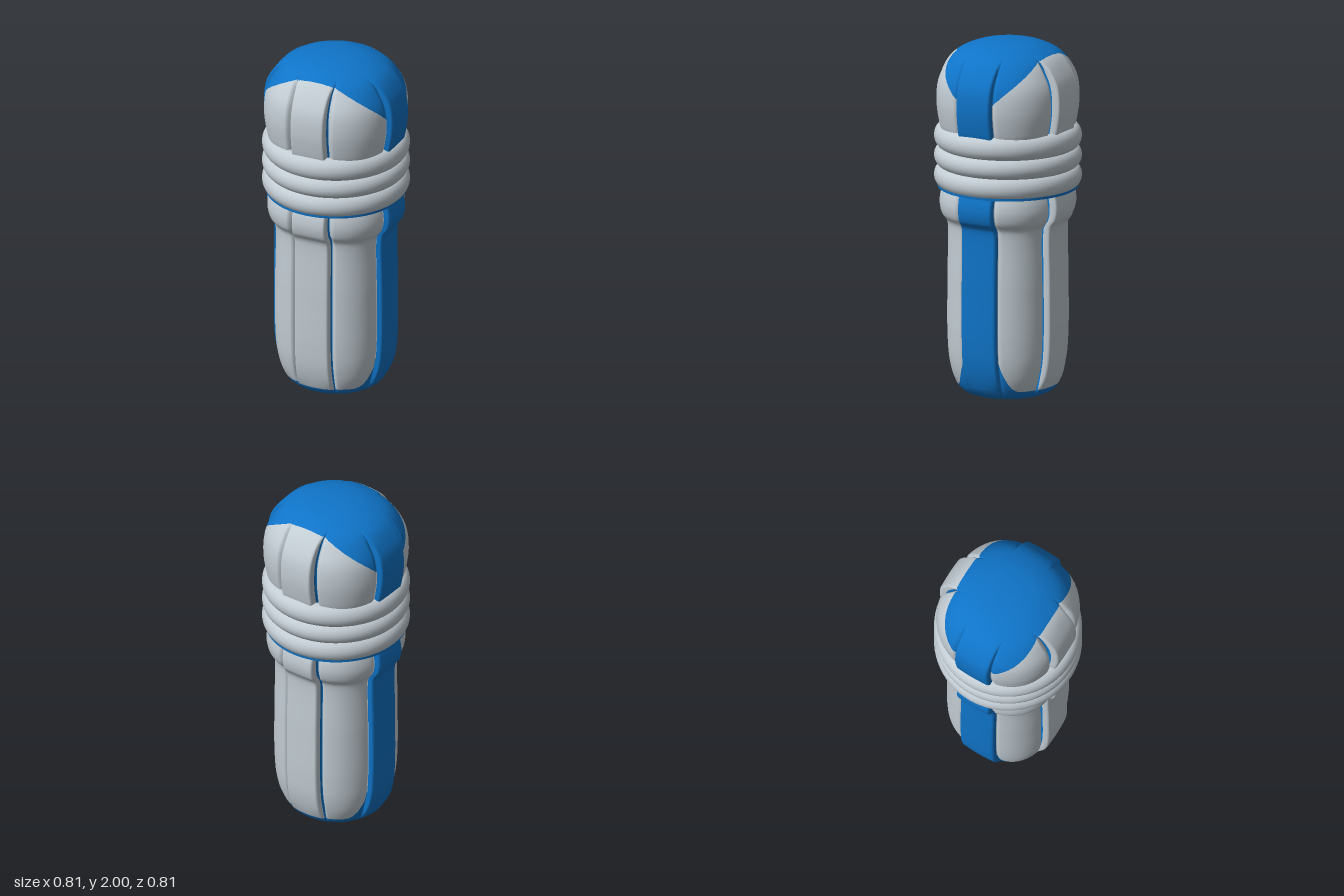
import * as THREE from 'three';

const blue = new THREE.MeshStandardMaterial({ color: 0x0f74c8 });
blue.name = 'blue shell';
const grey = new THREE.MeshStandardMaterial({ color: 0xc2ccd3 });
grey.name = 'grey padding';

// Side profile as (radius, height), from the bottom centre to the top centre
const profile = new THREE.CatmullRomCurve3([
  [0, 0.005], [0.15, 0.012], [0.24, 0.035], [0.272, 0.06], [0.3, 0.12], [0.324, 0.22],
  [0.334, 0.35], [0.335, 0.65], [0.335, 0.99], [0.345, 1.01], [0.364, 1.035], [0.377, 1.09],
  [0.374, 1.14], [0.362, 1.19], [0.355, 1.25], [0.355, 1.45], [0.38, 1.55], [0.395, 1.67],
  [0.385, 1.78], [0.355, 1.85], [0.295, 1.927], [0.2, 1.974], [0.1, 1.994], [0, 2],
].map(([r, y]) => new THREE.Vector3(r, y, 0)));
const N = 1200;
const table = profile.getSpacedPoints(N);

function profileAt(t) {
  const f = THREE.MathUtils.clamp(t, 0, 1) * N;
  const i = Math.min(N - 1, Math.floor(f));
  return table[i].clone().lerp(table[i + 1], f - i);
}
const tAtHeight = (y) => table.findIndex((p) => p.y >= y) / N;
const smooth = THREE.MathUtils.smoothstep;

// One quarter of the padded surface.
// s: 0..1 half of the centre panel, 1..2 diagonal panel, 2..3 half of the side panel
function surface(s, t) {
  const { x: r, y } = profileAt(t);
  const a = Math.asin(0.115 / Math.max(r, 0.27));
  const diagonal = Math.PI / 2 - 2 * a;
  const phi = s < 1 ? s * a : s < 2 ? a + (s - 1) * diagonal : Math.PI / 2 - (3 - s) * a;
  const flat = (angle) => 1 + 0.7 * (1 / Math.cos(angle) - 1);
  const bow = 0.975 + 0.045 * Math.sin(Math.PI * THREE.MathUtils.clamp(s - 1, 0, 1));
  const inCentre = 1 - smooth(s, 0.94, 1.02);
  const inSide = smooth(s, 1.98, 2.06);
  let k = bow * (1 - inCentre - inSide)
    + flat(Math.min(Math.abs(phi), a)) * inCentre
    + flat(Math.min(Math.abs(Math.PI / 2 - phi), a)) * inSide;
  // Seams between the panels
  const seam = (at, depth, width) => {
    const inNarrow = at === 1 ? s < 1 : s > 2;
    const d = Math.abs(s - at) * (inNarrow ? 0.115 : 0.31);
    return depth * Math.exp(-((d / width) ** 2));
  };
  k -= seam(1, 0.12, 0.013) + seam(2, 0.04, 0.012);
  const fade = smooth(y, 0.03, 0.16) * (1 - smooth(y, 1.85, 1.97));
  const q = r * (1 + (k - 1) * fade);
  return new THREE.Vector3(q * Math.sin(phi), y, q * Math.cos(phi) * 0.975);
}

function range(from, to, n) {
  return Array.from({ length: n }, (_, i) => from + (to - from) * i / n);
}

function makeBody() {
  const columns = [
    ...range(0, 0.7, 4), ...range(0.7, 0.96, 6), ...range(0.96, 1.015, 3),
    ...range(1.015, 1.12, 6), ...range(1.12, 1.9, 9), ...range(1.9, 2, 5),
    ...range(2, 2.3, 6), ...range(2.3, 3, 4), 3,
  ];
  const low = 12, mid = 100, high = 22, rows = low + mid + high;
  const position = [], normal = [], greyFaces = [], blueFaces = [];
  const e = 0.002;

  for (const [sx, sz] of [[1, 1], [-1, 1], [1, -1], [-1, -1]]) {
    const start = position.length / 3;
    columns.forEach((s, i) => {
      // Curved lower and upper borders of the grey padding
      const w = Math.min(s < 1 ? s * 0.26 : 0.26 + (s - 1) * 0.74, 1);
      const tLow = tAtHeight(0.08 + 0.17 * Math.max(0, (w - 0.6) / 0.4) ** 3);
      const tHigh = tAtHeight(1.94 - 0.23 * w ** 2.2);
      for (let j = 0; j <= rows; j++) {
        const t = j < low ? tLow * j / low
          : j < low + mid ? tLow + (tHigh - tLow) * (j - low) / mid
            : tHigh + (1 - tHigh) * (j - low - mid) / high;
        const p = surface(s, t);
        const n = new THREE.Vector3();
        if (j === 0 || j === rows) n.set(0, j ? 1 : -1, 0);
        else {
          const ds = surface(s + e, t).sub(surface(s - e, t));
          const dt = surface(s, t + e).sub(surface(s, t - e));
          n.crossVectors(ds, dt).normalize();
        }
        position.push(p.x * sx, p.y, p.z * sz);
        normal.push(n.x * sx, n.y, n.z * sz);

        if (i === columns.length - 1 || j === rows) continue;
        const a = start + i * (rows + 1) + j, b = a + rows + 1;
        const centre = (s + columns[i + 1]) / 2;
        const padded = j >= low && j < low + mid && centre < 2
          && !(centre > 0.96 && centre < 1.015);
        const faces = padded ? greyFaces : blueFaces;
        if (sx * sz > 0) faces.push(a, b, b + 1, a, b + 1, a + 1);
        else faces.push(a, b + 1, b, a, a + 1, b + 1);
      }
    });
  }

  const build = (faces, material, name) => {
    const g = new THREE.BufferGeometry();
    g.setAttribute('position', new THREE.Float32BufferAttribute(position, 3));
    g.setAttribute('normal', new THREE.Float32BufferAttribute(normal, 3));
    g.setIndex(faces);
    const mesh = new THREE.Mesh(g, material);
    mesh.name = name;
    return mesh;
  };
  const body = new THREE.Group();
  body.name = 'body';
  body.add(build(blueFaces, blue, 'shell'), build(greyFaces, grey, 'paddedPanels'));
  return body;
}

export function createModel() {
  const model = new THREE.Group();
  model.name = 'paddedCapsule';
  model.add(makeBody());

  // Three puffy bands around the upper half
  const bands = new THREE.Group();
  bands.name = 'bands';
  [[1.242, 0.064], [1.352, 0.06], [1.464, 0.066]].forEach(([y, half], i) => {
    const tube = 0.055;
    const band = new THREE.Mesh(new THREE.TorusGeometry(0.405 - tube, tube, 20, 72), grey);
    band.rotation.x = Math.PI / 2;
    band.scale.z = half / tube;
    band.position.y = y;
    band.name = `band${i + 1}`;
    bands.add(band);
  });
  model.add(bands);

  // Blue rim below the bands
  const rim = new THREE.Mesh(new THREE.CylinderGeometry(0.386, 0.384, 0.022, 72), blue);
  rim.position.y = 1.19;
  rim.name = 'lowerRim';
  model.add(rim);
  return model;
}
